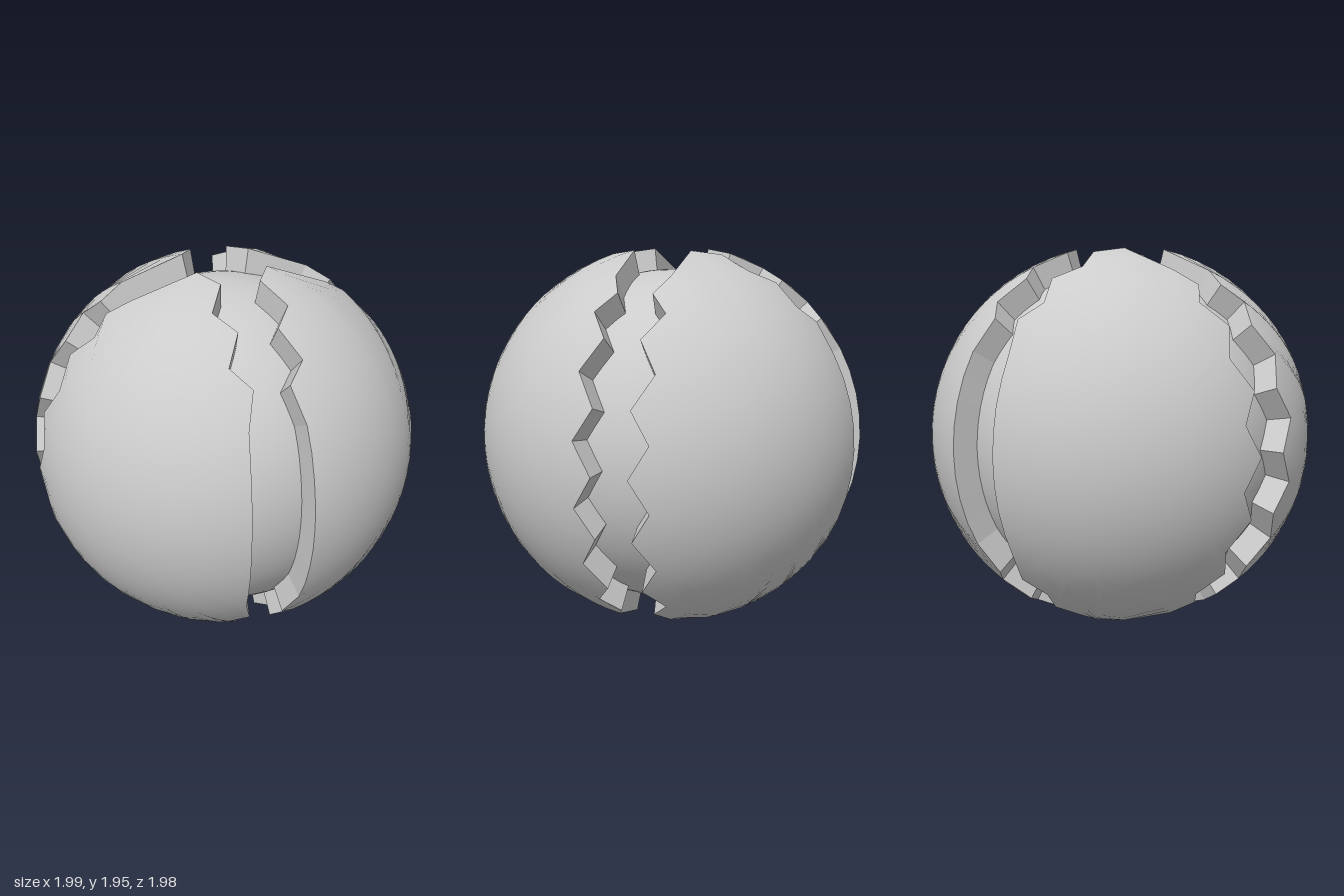
import * as THREE from 'three';

const CENTRE = 0.977, CORE = 0.873, WALL_BOTTOM = 0.86, RINGS = 14;

// Upper half of the plate edge beside each groove: [height, distance from the groove's mid plane]
const zigzagEdge = [[0.862, 0.136], [0.79, 0.085], [0.707, 0.172], [0.6, 0.086],
  [0.457, 0.18], [0.305, 0.088], [0.157, 0.18], [0, 0.087]];
const smoothEdge = [[0.953, 0.096], [0.877, 0.181], [0.82, 0.094], [0.707, 0.172], [0.63, 0.085],
  [0.475, 0.134], [0.36, 0.142], [0.24, 0.146], [0.12, 0.149], [0, 0.15]];

const remaining = (a, b) => Math.sqrt(1 - a * a - b * b);
const mirrorDown = (half) => [...half, ...half.slice(0, -1).reverse().map(([h, d]) => [-h, d])];

// Closed edge of one plate on the unit sphere, clockwise from its top corner
function plateLoop() {
  const cx = 0.174, cz = 0.148, cy = remaining(cx, cz);
  const side = mirrorDown(zigzagEdge).map(([h, d]) => new THREE.Vector3(remaining(h, d), h, d));
  const front = mirrorDown(smoothEdge).map(([h, d]) => new THREE.Vector3(d, h, remaining(h, d)));
  return [new THREE.Vector3(cx, cy, cz), ...side,
    new THREE.Vector3(cx, -cy, cz), ...front.reverse()];
}

// Curved outer skin: rings spreading from the plate's middle to its edge
function skinGeometry(loop, mid, flip) {
  const n = loop.length, positions = [], indices = [];
  for (let r = 0; r <= RINGS; r++) {
    for (const p of loop) {
      const angle = mid.angleTo(p), t = r / RINGS;
      const v = mid.clone().multiplyScalar(Math.sin((1 - t) * angle))
        .addScaledVector(p, Math.sin(t * angle)).normalize();
      positions.push(v.x, v.y, v.z);
    }
  }
  const tri = (a, b, c) => indices.push(...(flip ? [a, c, b] : [a, b, c]));
  for (let r = 0; r < RINGS; r++) {
    for (let i = 0; i < n; i++) {
      const j = (i + 1) % n, a = r * n + i, b = r * n + j;
      if (r > 0) tri(a, b, a + n);
      tri(b, b + n, a + n);
    }
  }
  const geo = new THREE.BufferGeometry();
  geo.setAttribute('position', new THREE.Float32BufferAttribute(positions, 3));
  geo.setAttribute('normal', new THREE.Float32BufferAttribute(positions, 3));
  geo.setIndex(indices);
  return geo;
}

// Flat-faced wall dropping from the plate's edge into the core
function wallGeometry(loop, flip) {
  const positions = [];
  loop.forEach((p, i) => {
    const q = loop[(i + 1) % loop.length];
    const pi = p.clone().multiplyScalar(WALL_BOTTOM), qi = q.clone().multiplyScalar(WALL_BOTTOM);
    const corners = flip ? [p, pi, q, q, pi, qi] : [p, q, pi, q, qi, pi];
    corners.forEach((v) => positions.push(v.x, v.y, v.z));
  });
  const geo = new THREE.BufferGeometry();
  geo.setAttribute('position', new THREE.Float32BufferAttribute(positions, 3));
  geo.computeVertexNormals();
  return geo;
}

export function createModel() {
  const model = new THREE.Group();
  model.name = 'crackedSphere';
  const material = new THREE.MeshStandardMaterial({ color: 0xcccccc });
  const add = (parent, name, geometry) => {
    const mesh = new THREE.Mesh(geometry, material);
    mesh.name = name;
    parent.add(mesh);
  };

  const body = new THREE.Group();
  body.name = 'body';
  body.position.y = CENTRE;
  model.add(body);

  // Inner ball seen through the grooves
  add(body, 'core', new THREE.SphereGeometry(CORE, 64, 40));

  // Four shell plates, mirrored across both grooves
  for (const sx of [1, -1]) {
    for (const sz of [1, -1]) {
      const plate = new THREE.Group();
      plate.name = (sz > 0 ? 'front' : 'back') + (sx > 0 ? 'Left' : 'Right') + 'Plate';
      const mirror = new THREE.Vector3(sx, 1, sz), flip = sx * sz < 0;
      const loop = plateLoop().map((p) => p.multiply(mirror));
      const mid = new THREE.Vector3(sx, 0, sz).normalize();
      add(plate, 'plateSkin', skinGeometry(loop, mid, flip));
      add(plate, 'plateWall', wallGeometry(loop, flip));
      body.add(plate);
    }
  }
  return model;
}
